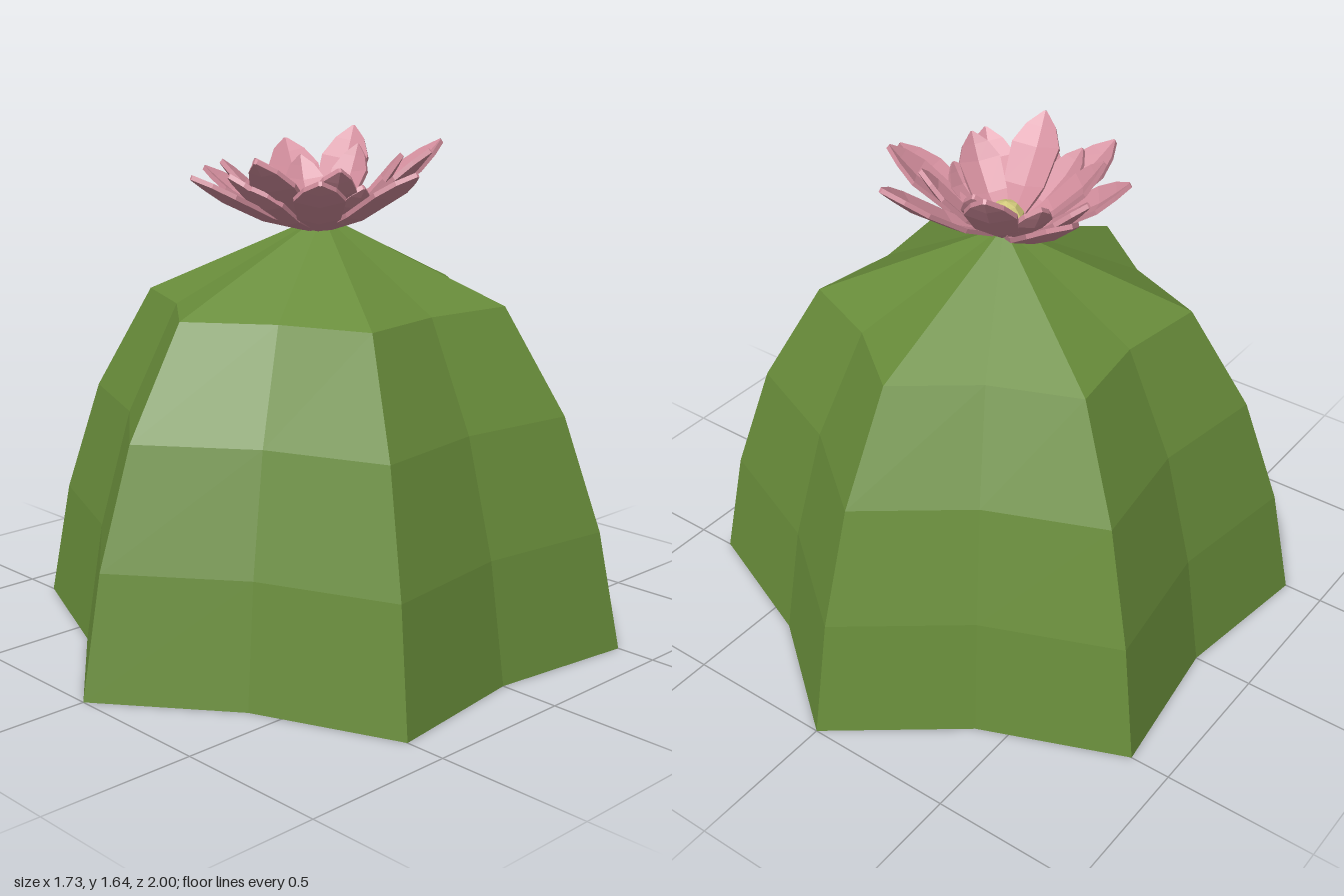
import * as THREE from 'three';

const green = new THREE.MeshStandardMaterial({ color: 0x688c3a, flatShading: true, side: THREE.DoubleSide });
green.name = 'cactus green';
const pink = new THREE.MeshStandardMaterial({ color: 0xd08c9b, flatShading: true });
pink.name = 'petal pink';
const yellow = new THREE.MeshStandardMaterial({ color: 0xd3ca7c, flatShading: true });
yellow.name = 'pollen yellow';

// Joins equal-length rings of points with quads; optional flat end caps.
function loft(rings, closed, capped) {
  const n = rings[0].length, index = [];
  for (let i = 0; i < rings.length - 1; i++) {
    for (let k = 0; k < (closed ? n : n - 1); k++) {
      const a = i * n + k, b = i * n + (k + 1) % n;
      index.push(a, b, b + n, a, b + n, a + n);
    }
  }
  if (capped) {
    const last = (rings.length - 1) * n;
    for (let k = 1; k < n - 1; k++) {
      index.push(0, k + 1, k, last, last + k, last + k + 1);
    }
  }
  const g = new THREE.BufferGeometry();
  g.setAttribute('position', new THREE.Float32BufferAttribute(rings.flat(2), 3));
  g.setIndex(index);
  const flat = g.toNonIndexed();
  flat.computeVertexNormals();
  return flat;
}

// Six-ribbed open shell: ridges at full radius, valleys at 0.8 of it.
function bodyGeometry() {
  const profile = [[1, 0], [0.925, 0.39], [0.8, 0.765], [0.6, 1.11], [0.001, 1.38]];
  const rings = profile.map(([r, y]) => Array.from({ length: 12 }, (_, i) => {
    const a = i * Math.PI / 6, s = i % 2 ? r * 0.8 : r;
    return [Math.sin(a) * s, y, Math.cos(a) * s];
  }));
  return loft(rings, true, false);
}

// Pointed, slightly cupped petal along +y with its inner face towards +z.
function petalGeometry(length, half) {
  const rows = [[0, 0.35], [0.35, 0.85], [0.7, 1], [0.87, 0.62], [1, 0.06]];
  const thick = 0.015;
  const rings = rows.map(([t, w]) => {
    const x = w * half, y = t * length, z = -0.03 * Math.sin(Math.PI * t), e = z + x * 0.25;
    return [[-x, y, e], [0, y, z], [x, y, e], [x, y, e - thick], [0, y, z - thick], [-x, y, e - thick]];
  });
  return loft(rings, true, true);
}

export function createModel() {
  const model = new THREE.Group();
  model.name = 'floweringCactus';

  const body = new THREE.Mesh(bodyGeometry(), green);
  body.name = 'ribbedBody';
  model.add(body);

  const flower = new THREE.Group();
  flower.name = 'flower';
  model.add(flower);
  const centre = new THREE.Vector3(0.02, 1.35, 0.04);

  // Petal tips: x, y, z, half width
  const tips = [
    // outer petals
    [0.18, 1.61, -0.36, 0.085], [-0.14, 1.64, -0.28, 0.08], [-0.37, 1.59, -0.18, 0.085],
    [-0.29, 1.54, 0.03, 0.07], [-0.31, 1.53, 0.23, 0.08], [-0.11, 1.53, 0.45, 0.08],
    [0.12, 1.59, 0.39, 0.08], [0.28, 1.53, 0.28, 0.08], [0.41, 1.545, 0, 0.08],
    [0.35, 1.605, -0.12, 0.075],
    // inner petals
    [-0.06, 1.53, 0.34, 0.065], [0.04, 1.5, 0.34, 0.065], [0.26, 1.56, 0.18, 0.07],
    [-0.2, 1.56, 0.25, 0.07], [0.2, 1.58, -0.15, 0.065], [-0.04, 1.59, -0.2, 0.065],
    [-0.2, 1.55, -0.09, 0.065], [0.25, 1.5, 0.07, 0.06],
  ];
  for (const [x, y, z, half] of tips) {
    const tip = new THREE.Vector3(x, y, z);
    const out = tip.clone().sub(centre).setY(0).normalize();
    const base = centre.clone().addScaledVector(out, 0.04);
    const along = tip.clone().sub(base);
    const length = along.length();
    along.normalize();
    const side = new THREE.Vector3().crossVectors(along, new THREE.Vector3(0, 1, 0)).normalize();
    const inner = new THREE.Vector3().crossVectors(side, along);
    const petal = new THREE.Mesh(petalGeometry(length, half), pink);
    petal.name = 'petal';
    petal.quaternion.setFromRotationMatrix(new THREE.Matrix4().makeBasis(side, along, inner));
    petal.position.copy(base);
    flower.add(petal);
  }

  // Flower heart
  const heart = new THREE.Mesh(new THREE.SphereGeometry(0.06, 8, 5), yellow);
  heart.name = 'flowerHeart';
  heart.position.set(0.02, 1.385, 0.04);
  flower.add(heart);

  return model;
}
